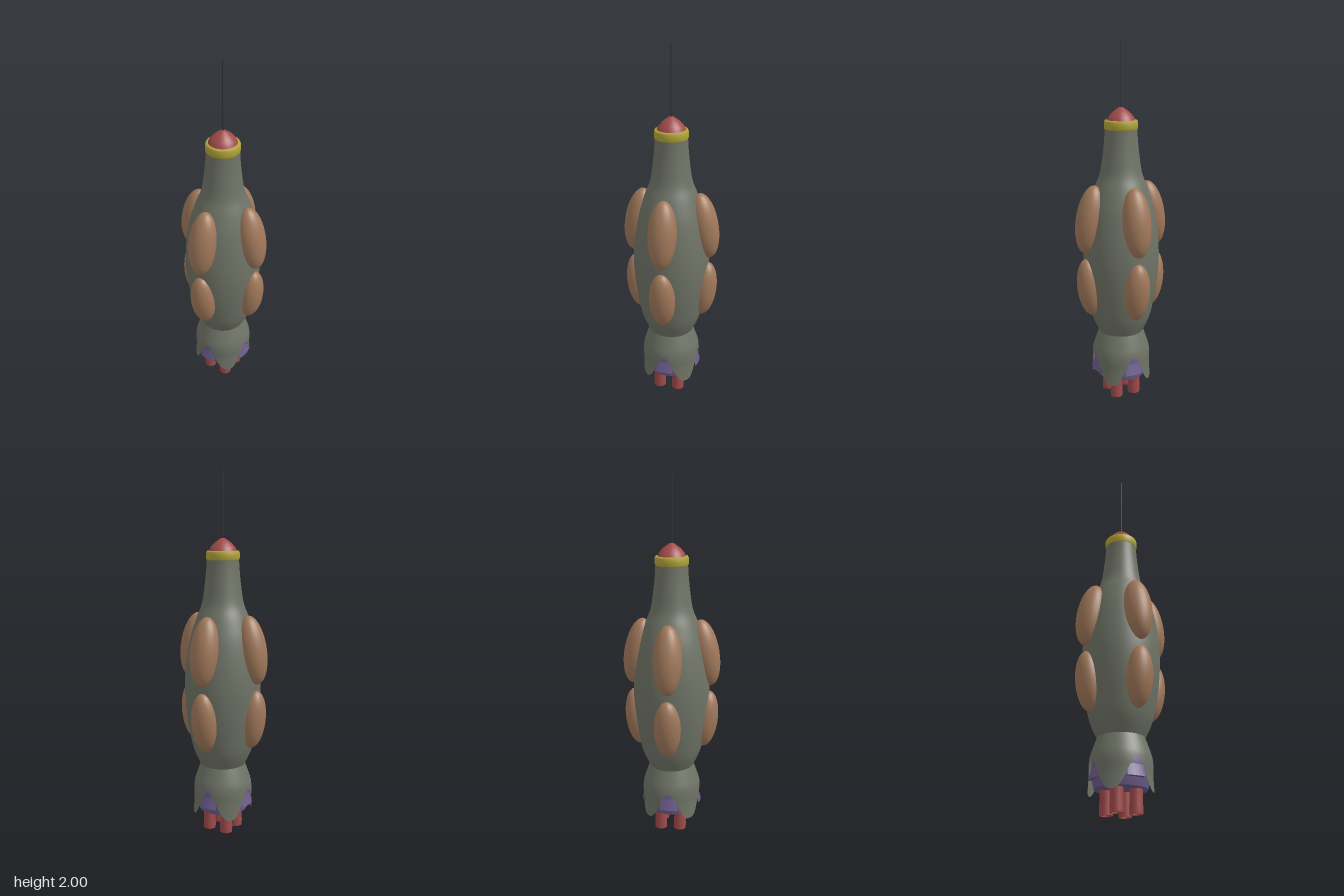
import * as THREE from 'three';
import { ParametricGeometry } from 'three/addons/geometries/ParametricGeometry.js';

const mat = (name, color, side = THREE.FrontSide) => {
  const m = new THREE.MeshStandardMaterial({ color, side });
  m.name = name;
  return m;
};

export function createModel() {
  const model = new THREE.Group();
  model.name = 'rocket';

  const grey = mat('hullGrey', 0x6f7366);
  const greySkirt = mat('skirtGrey', 0x6f7366, THREE.DoubleSide);
  const brown = mat('podBrown', 0xa0785a);
  const red = mat('red', 0xa04a4a);
  const yellow = mat('yellow', 0xb0a438);
  const purple = mat('purple', 0x6b5b8a);
  const dark = mat('antennaDark', 0x35353a);

  const add = (name, geometry, material, parent = model) => {
    const mesh = new THREE.Mesh(geometry, material);
    mesh.name = name;
    parent.add(mesh);
    return mesh;
  };
  const points = (list) => list.map(([r, y]) => new THREE.Vector2(r, y));
  const lathe = (list, segments = 48) => new THREE.LatheGeometry(points(list), segments);
  const smooth = (list, n) => new THREE.SplineCurve(points(list)).getPoints(n);

  // Bottle-shaped hull with a closed base
  const hull = smooth([
    [0.125, 0.385], [0.163, 0.47], [0.187, 0.58], [0.204, 0.7], [0.211, 0.83],
    [0.203, 0.96], [0.18, 1.1], [0.146, 1.21], [0.115, 1.29], [0.099, 1.39], [0.09, 1.48], [0.087, 1.54],
  ], 50);
  add('hull', new THREE.LatheGeometry(hull, 64), grey);

  // Collar, nose cap and antenna
  add('collar', lathe([
    [0.075, 1.523], [0.086, 1.524], [0.0905, 1.532], [0.0915, 1.55],
    [0.0905, 1.567], [0.086, 1.575], [0.07, 1.576],
  ]), yellow);
  const nose = smooth([[0.079, 1.57], [0.066, 1.594], [0.044, 1.618], [0.018, 1.637]], 12);
  nose.push(new THREE.Vector2(0.01, 1.642), new THREE.Vector2(0, 1.643));
  add('noseCap', new THREE.LatheGeometry(nose, 48), red);
  add('antenna', new THREE.CylinderGeometry(0.004, 0.004, 0.37, 8).translate(0, 1.815, 0), dark);

  // Skirt whose hem is cut by four arches, leaving four pointed petals
  const skirtProfile = new THREE.SplineCurve(points([
    [0.125, 0.385], [0.143, 0.335], [0.159, 0.285], [0.164, 0.24], [0.163, 0.19], [0.165, 0.14], [0.168, 0.1],
  ])).getPoints(40);
  const radiusAt = (y) => {
    const i = Math.max(1, skirtProfile.findIndex((p) => p.y <= y + 1e-6));
    const a = skirtProfile[i - 1], b = skirtProfile[i];
    return a.x + (b.x - a.x) * (a.y - y) / (a.y - b.y);
  };
  const hemAt = (angle) => 0.1 + 0.16 * Math.pow(0.5 + 0.5 * Math.cos(4 * angle), 1.4);
  add('skirt', new ParametricGeometry((u, v, target) => {
    const angle = u * Math.PI * 2;
    const y = 0.385 + (hemAt(angle) - 0.385) * (1 - v);
    const r = radiusAt(y);
    target.set(r * Math.sin(angle), y, r * Math.cos(angle));
  }, 128, 20), greySkirt);

  // Engine block inside the skirt
  add('engineBlock', lathe([
    [0, 0.122], [0.136, 0.122], [0.136, 0.122], [0.146, 0.165], [0.152, 0.22], [0.148, 0.28], [0.115, 0.37],
  ]), purple);

  // Four of each: side pods, engine lips and exhaust pipes
  const pods = [
    { name: 'upperPod', y: 1.05, r: 0.188, size: [0.078, 0.187, 0.075], tilt: -0.175 },
    { name: 'lowerPod', y: 0.665, r: 0.194, size: [0.073, 0.165, 0.067], tilt: 0.108 },
  ];
  const pipe = lathe([
    [0, 0.05], [0.026, 0.05], [0.026, 0.05], [0.026, 0], [0.026, 0], [0.034, 0], [0.034, 0],
    [0.035, 0.03], [0.033, 0.07], [0.034, 0.14],
  ], 24);
  const lipArc = 0.62;
  const lip = new THREE.LatheGeometry(points([
    [0.138, 0.163], [0.17, 0.163], [0.17, 0.163], [0.161, 0.19], [0.15, 0.23],
  ]), 10, -lipArc / 2, lipArc);
  for (let i = 0; i < 4; i++) {
    const quarter = new THREE.Group();
    quarter.name = 'quarter' + (i + 1);
    quarter.rotation.y = i * Math.PI / 2;
    model.add(quarter);
    for (const p of pods) {
      const pod = add(p.name, new THREE.SphereGeometry(1, 32, 24).scale(...p.size), brown, quarter);
      pod.position.set(0, p.y, p.r);
      pod.rotation.x = p.tilt;
    }
    add('engineLip', lip, purple, quarter);
    add('exhaustPipe', pipe, red, quarter).position.set(0.055, 0, 0.055);
  }
  return model;
}
